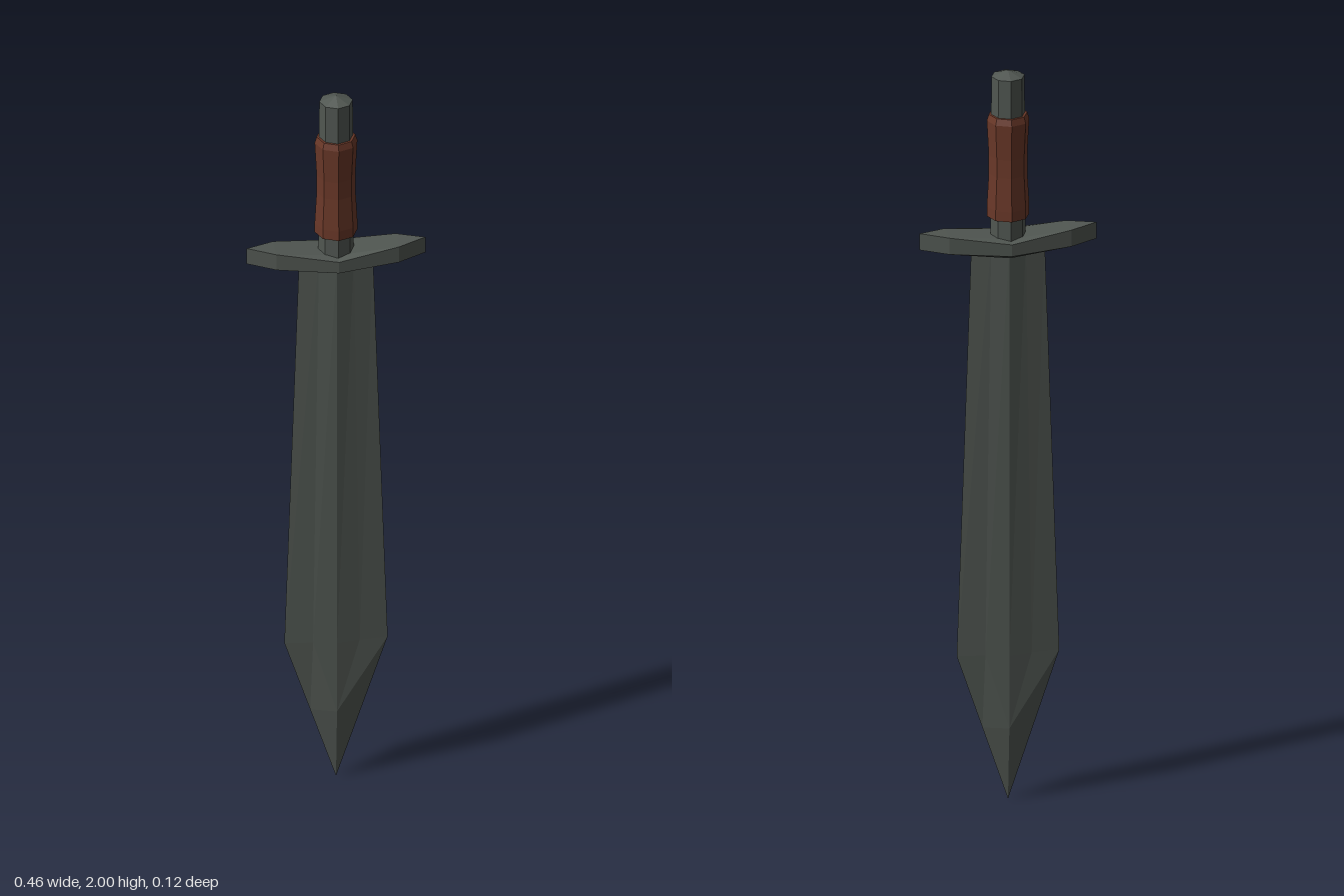
import * as THREE from 'three';

const mat = (name, color) => {
  const m = new THREE.MeshStandardMaterial({ color, flatShading: true });
  m.name = name;
  return m;
};

// Joins rings of equal point count, listed along an axis and running
// anticlockwise seen from its positive end; both ends close with a fan.
function loft(rings) {
  const pos = [];
  const tri = (a, b, c) => pos.push(...a, ...b, ...c);
  const n = rings[0].length;
  for (let r = 0; r < rings.length - 1; r++) {
    for (let i = 0; i < n; i++) {
      const j = (i + 1) % n;
      const [a, b, c, d] = [rings[r][i], rings[r][j], rings[r + 1][j], rings[r + 1][i]];
      tri(a, b, c);
      tri(a, c, d);
    }
  }
  const cap = (ring, end) => {
    const mid = [0, 1, 2].map(k => ring.reduce((s, p) => s + p[k], 0) / n);
    for (let i = 0; i < n; i++) {
      const p = ring[i], q = ring[(i + 1) % n];
      if (end) tri(mid, p, q); else tri(mid, q, p);
    }
  };
  cap(rings[0], false);
  cap(rings[rings.length - 1], true);
  const g = new THREE.BufferGeometry();
  g.setAttribute('position', new THREE.Float32BufferAttribute(pos, 3));
  g.computeVertexNormals();
  return g;
}

// Eight points: cutting edge, shoulder, ridge, mirrored on all sides
const bladeRing = (y, w, s, zs, zr) => [
  [w, y, 0], [s, y, -zs], [0, y, -zr], [-s, y, -zs],
  [-w, y, 0], [-s, y, zs], [0, y, zr], [s, y, zs],
];

// Guard section at x: flat band of half-depth z, with chamfers out to depth zs
const guardRing = (x, z, zs, top, bottom, chamferTop, chamferBottom) => [
  [x, top, -z], [x, top, z], [x, top - chamferTop, zs], [x, bottom + chamferBottom, zs],
  [x, bottom, z], [x, bottom, -z], [x, bottom + chamferBottom, -zs], [x, top - chamferTop, -zs],
];

const turned = points =>
  new THREE.LatheGeometry(points.map(([r, y]) => new THREE.Vector2(r, y)), 8);

export function createModel() {
  const model = new THREE.Group();
  model.name = 'sword';
  const steel = mat('darkSteel', 0x505651);
  const leather = mat('brownLeather', 0x6a3828);

  const add = (name, geometry, material) => {
    const mesh = new THREE.Mesh(geometry, material);
    mesh.name = name;
    model.add(mesh);
  };

  // Blade, pointing down, widest above the tip
  add('blade', loft([
    bladeRing(0, 0, 0, 0, 0),
    bladeRing(0.2, 0.0665, 0, 0.02, 0.02),
    bladeRing(0.4, 0.133, 0.06, 0.008, 0.02),
    bladeRing(1.53, 0.095, 0.045, 0.008, 0.02),
  ]), steel);

  // Crossguard: arms rise from the middle and narrow to upright edges
  const end = x => guardRing(x, 0, 0, 1.567, 1.522, 0, 0);
  const arm = x => guardRing(x, 0.035, 0.035, 1.563, 1.518, 0, 0);
  add('guard', loft([
    end(-0.23), arm(-0.158),
    guardRing(0, 0.035, 0.06, 1.55, 1.497, 0.007, 0.014),
    arm(0.158), end(0.23),
  ]), steel);

  // Metal core of the handle with its low pointed pommel
  add('handleCore', turned([[0, 1.52], [0.046, 1.52], [0.043, 1.985], [0, 2]]), steel);

  // Leather wrap, slightly pinched in the middle
  add('gripWrap', turned([
    [0.043, 1.6], [0.055, 1.603], [0.055, 1.63], [0.05, 1.72],
    [0.05, 1.77], [0.055, 1.865], [0.05, 1.882], [0.043, 1.882],
  ]), leather);

  return model;
}
